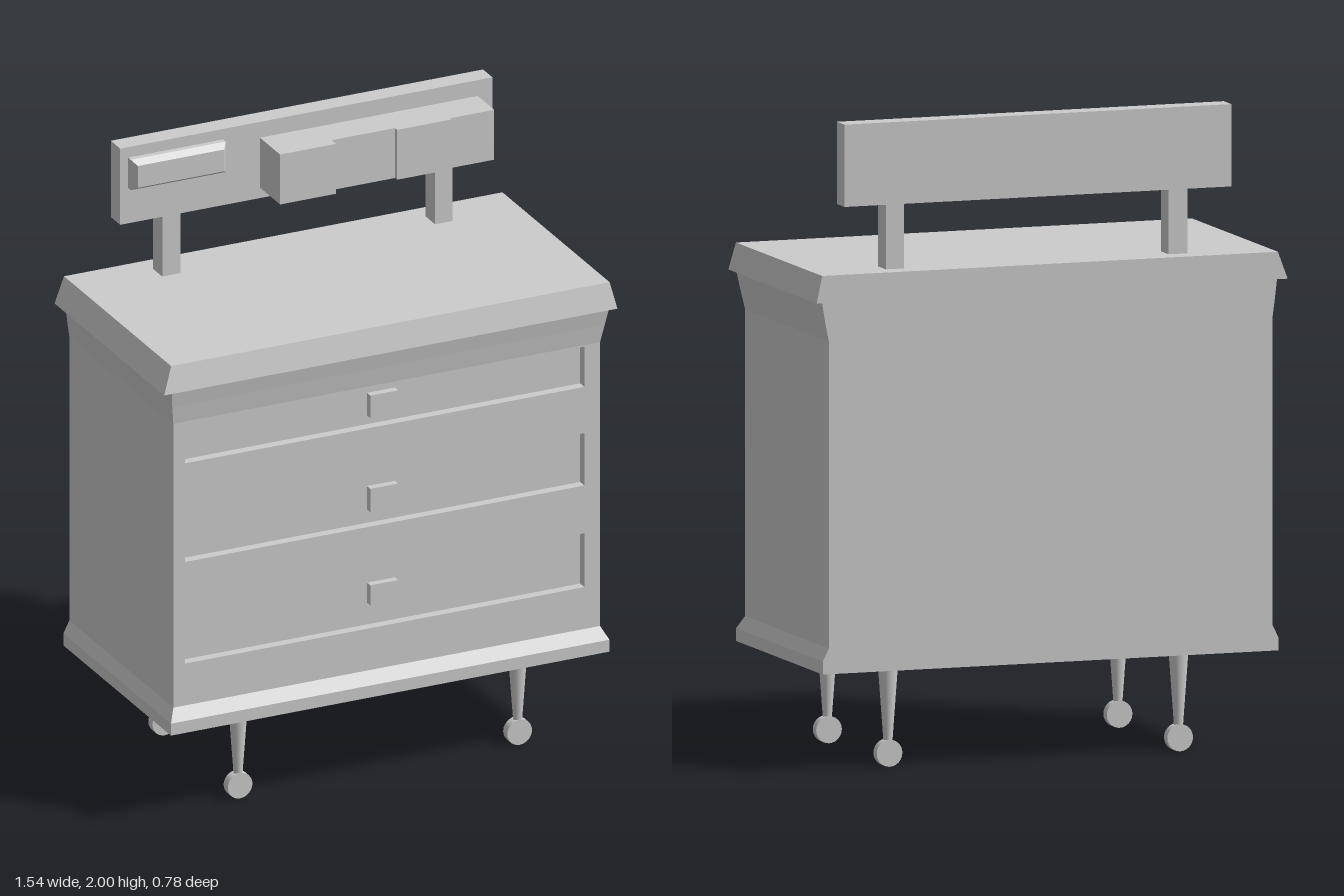
import * as THREE from 'three';

const smooth = new THREE.MeshStandardMaterial({ color: 0xcccccc });
const flat = new THREE.MeshStandardMaterial({ color: 0xcccccc, flatShading: true });

// Stack of rectangles [y, x0, x1, z0, z1], joined from bottom to top and capped.
function loft(levels) {
  const pos = [], idx = [];
  levels.forEach(([y, x0, x1, z0, z1], k) => {
    pos.push(x0, y, z1, x1, y, z1, x1, y, z0, x0, y, z0);
    if (k === 0) return;
    for (let i = 0; i < 4; i++) {
      const j = (i + 1) % 4, a = (k - 1) * 4, b = k * 4;
      idx.push(a + i, a + j, b + j, a + i, b + j, b + i);
    }
  });
  const t = (levels.length - 1) * 4;
  idx.push(0, 2, 1, 0, 3, 2, t, t + 1, t + 2, t, t + 2, t + 3);
  const g = new THREE.BufferGeometry();
  g.setAttribute('position', new THREE.Float32BufferAttribute(pos, 3));
  g.setIndex(idx);
  const out = g.toNonIndexed();
  out.computeVertexNormals();
  return out;
}

// Closed rectangle outline
function rect(x0, x1, y0, y1, Type = THREE.Shape) {
  const s = new Type();
  s.moveTo(x0, y0).lineTo(x1, y0).lineTo(x1, y1).lineTo(x0, y1).closePath();
  return s;
}

export function createModel() {
  const model = new THREE.Group();
  model.name = 'drawerCart';

  function add(name, geometry, material = flat, parent = model) {
    const mesh = new THREE.Mesh(geometry, material);
    mesh.name = name;
    parent.add(mesh);
    return mesh;
  }
  function box(name, x0, x1, y0, y1, z0, z1) {
    const m = add(name, new THREE.BoxGeometry(x1 - x0, y1 - y0, z1 - z0));
    m.position.set((x0 + x1) / 2, (y0 + y1) / 2, (z0 + z1) / 2);
    return m;
  }

  // Cabinet: stepped plinth, straight walls, flared neck, all flush at the back
  const back = -0.39, front = 0.35, floor = 0.32;
  add('cabinet', loft([
    [0.31, -0.74, 0.75, back, 0.375],
    [0.35, -0.74, 0.75, back, 0.375],
    [0.39, -0.72, 0.73, back, front],
    [0.39, -0.72, 0.73, back, floor],
    [1.34, -0.72, 0.73, back, floor],
    [1.34, -0.72, 0.73, back, front],
    [1.40, -0.728, 0.742, back, 0.359],
    [1.46, -0.735, 0.752, back, 0.37],
  ]));

  // Worktop with sloping edges
  add('worktop', loft([
    [1.46, -0.77, 0.77, back, 0.39],
    [1.545, -0.738, 0.752, back, 0.372],
  ]));

  // Front plate with a shallow recess for each drawer, and a square knob in each
  const drawers = [[0.53, 0.71], [0.87, 1.045], [1.2, 1.335]];
  const knobs = [[0.603, 0.67], [0.915, 0.993], [1.23, 1.305]];
  const plate = rect(-0.72, 0.73, 0.39, 1.34);
  drawers.forEach(([y0, y1]) => plate.holes.push(rect(-0.68, 0.677, y0, y1, THREE.Path)));
  add('drawerFront', new THREE.ExtrudeGeometry(plate, { depth: front - floor, bevelEnabled: false }))
    .position.z = floor;
  knobs.forEach(([y0, y1]) => box('drawerKnob', -0.048, 0.047, y0, y1, floor, floor + 0.024));

  // Tapered legs on castors
  for (const x of [-0.45, 0.5]) {
    for (const z of [0.245, -0.29]) {
      const leg = new THREE.Group();
      leg.name = 'legWithCastor';
      leg.position.set(x, 0, z);
      add('leg', new THREE.CylinderGeometry(0.031, 0.013, 0.25, 20), smooth, leg).position.y = 0.19;
      const wheel = add('castor', new THREE.CylinderGeometry(0.042, 0.042, 0.03, 24), smooth, leg);
      wheel.rotation.x = Math.PI / 2;
      wheel.position.y = 0.042;
      model.add(leg);
    }
  }

  // Raised back board on two posts
  const zb = -0.325, zf = -0.258;
  box('backBoard', -0.61, 0.655, 1.745, 2.0, zb, zf);
  box('boardPost', -0.467, -0.405, 1.545, 1.745, zb, zf);
  box('boardPost', 0.46, 0.52, 1.545, 1.745, zb, zf);

  // Row of bins with uneven depths, extruded upwards from its plan
  const plan = new THREE.Shape();
  plan.moveTo(-0.135, -zf);
  [[-0.135, 0.055, -0.115], [0.055, 0.27, -0.146], [0.27, 0.455, -0.131], [0.455, 0.605, -0.141]]
    .forEach(([x0, x1, z]) => plan.lineTo(x0, -z).lineTo(x1, -z));
  plan.lineTo(0.605, -zf).closePath();
  const bins = add('binRow', new THREE.ExtrudeGeometry(plan, { depth: 0.167, bevelEnabled: false }));
  bins.rotation.x = -Math.PI / 2;
  bins.position.y = 1.78;

  // Bevelled display box, lofted towards the front
  const display = add('displayBox', loft([
    [zf, -0.583, -0.26, -1.965, -1.863],
    [-0.24, -0.583, -0.26, -1.965, -1.863],
    [-0.22, -0.568, -0.274, -1.949, -1.876],
  ]));
  display.rotation.x = Math.PI / 2;

  return model;
}
